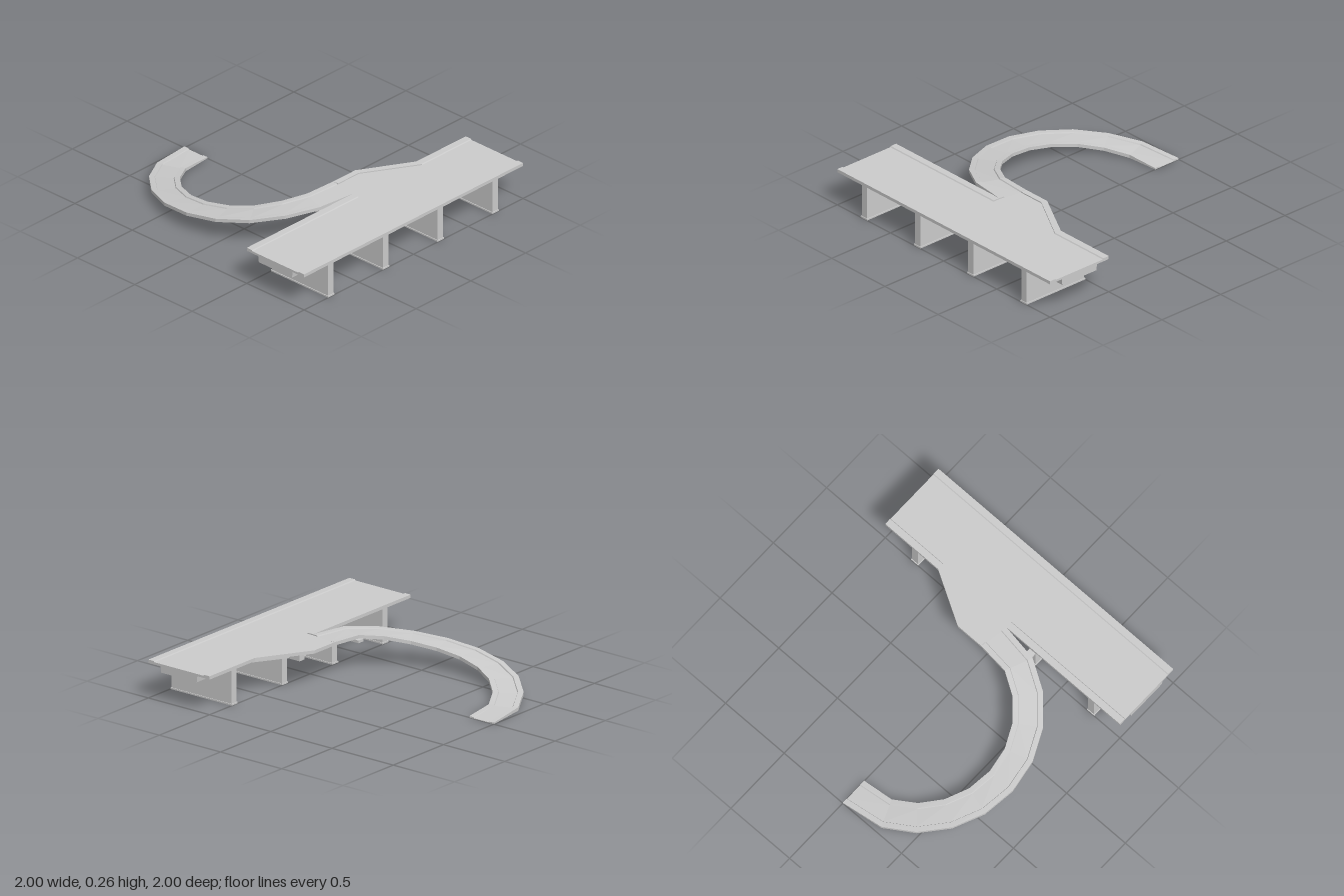
import * as THREE from 'three';

const mat = new THREE.MeshStandardMaterial({ color: 0xcccccc, flatShading: true, side: THREE.DoubleSide });

const TOP = 0.257, ROAD = 0.25, SLAB = 0.235, BEAM = 0.193;

function add(parent, name, geo) {
  const mesh = new THREE.Mesh(geo, mat);
  mesh.name = name;
  parent.add(mesh);
  return mesh;
}

function box(parent, name, x0, x1, y0, y1, z0, z1) {
  const geo = new THREE.BoxGeometry(x1 - x0, y1 - y0, z1 - z0);
  geo.translate((x0 + x1) / 2, (y0 + y1) / 2, (z0 + z1) / 2);
  return add(parent, name, geo);
}

// Extrude an x/y section along z
function beamAlongZ(points, z0, z1) {
  const shape = new THREE.Shape(points.map(p => new THREE.Vector2(...p)));
  const geo = new THREE.ExtrudeGeometry(shape, { depth: z1 - z0, bevelEnabled: false });
  return geo.translate(0, 0, z0);
}

// Extrude an x/z outline between two heights
function plate(points, y0, y1) {
  const shape = new THREE.Shape(points.map(([x, z]) => new THREE.Vector2(x, -z)));
  const geo = new THREE.ExtrudeGeometry(shape, { depth: y1 - y0, bevelEnabled: false });
  return geo.rotateX(-Math.PI / 2).translate(0, y0, 0);
}

// Join equal cross-section rings into a closed solid
function loft(rings) {
  const n = rings[0].length, index = [];
  for (let i = 0; i < rings.length - 1; i++) {
    for (let j = 0; j < n; j++) {
      const a = i * n + j, b = i * n + (j + 1) % n;
      index.push(a, b, a + n, b, b + n, a + n);
    }
  }
  // End caps: kerbs and road strip of the eight-point section
  const cap = [[0, 1, 2], [0, 2, 3], [0, 3, 4], [0, 4, 7], [7, 4, 5], [7, 5, 6]];
  const last = (rings.length - 1) * n;
  for (const [a, b, c] of cap) index.push(a, c, b, a + last, b + last, c + last);
  const geo = new THREE.BufferGeometry();
  geo.setAttribute('position', new THREE.Float32BufferAttribute(rings.flat(2), 3));
  geo.setIndex(index);
  const flat = geo.toNonIndexed();
  flat.computeVertexNormals();
  return flat;
}

export function createModel() {
  const group = new THREE.Group();

  // Main deck with box beam underneath and a continuous right kerb
  add(group, 'deck', beamAlongZ([
    [0.5, SLAB], [0.6, SLAB], [0.605, BEAM], [0.895, BEAM], [0.9, SLAB], [1, SLAB],
    [1, TOP], [0.955, TOP], [0.95, ROAD], [0.5, ROAD],
  ], -1, 1));

  // Kerb on the ramp side, open where the ramp joins
  const kerb = [[0.5, ROAD], [0.55, ROAD], [0.545, TOP], [0.5, TOP]];
  add(group, 'frontKerb', beamAlongZ(kerb, 0.03, 1));
  add(group, 'backKerb', beamAlongZ(kerb, -1, -0.55));

  // Wall piers with slightly wider feet
  for (const z of [-0.75, -0.25, 0.25, 0.75]) {
    const pier = new THREE.Group();
    pier.name = 'pier';
    box(pier, 'pierWall', 0.505, 0.995, 0, SLAB, z - 0.025, z + 0.025);
    box(pier, 'pierFoot', 0.5, 1, 0, 0.01, z - 0.03, z + 0.03);
    group.add(pier);
  }

  // Brackets carrying the ramp and the widened deck
  box(group, 'rampBracket', 0.29, 0.51, 0.19, 0.208, 0.225, 0.275);
  box(group, 'deckBracket', 0.36, 0.51, 0.19, SLAB, -0.275, -0.225);

  // Tapered widening where the ramp merges
  add(group, 'mergeSlab', plate([[0.3, 0], [0.5, 0.03], [0.5, -0.55], [0.3, -0.2]], SLAB, ROAD));
  add(group, 'mergeBeam', plate([[0.4, 0], [0.61, 0], [0.61, -0.55], [0.4, -0.2]], BEAM, SLAB));
  add(group, 'mergeKerb', plate([
    [0.3, 0], [0.34, 0], [0.34, -0.19], [0.55, -0.55], [0.5, -0.55], [0.3, -0.2],
  ], ROAD, TOP));

  // Curved ramp: stations on a half circle, rising to the deck
  const heights = [0.01, 0.025, 0.05, 0.077, 0.103, 0.13, 0.157, 0.187, 0.222, 0.25, TOP];
  const rings = heights.map((h, k) => {
    // End stations sit square; the others are spaced evenly round the arc
    const end = k === 0 || k === 10;
    const a = Math.PI - (k === 0 ? 0 : k === 10 ? Math.PI : (k - 0.3 * (5 - k) / 5 * -1) * Math.PI / 10);
    const outer = end ? 0.75 : 0.768, inner = end ? 0.55 : 0.573;
    const low = Math.max(0, h - 0.023), road = Math.max(low + 0.004, h - 0.007);
    const at = (t, y) => {
      const r = inner + (outer - inner) * t;
      let x = -0.25 + r * Math.cos(a), z = r * Math.sin(a);
      x = Math.min(Math.max(x, -1), 0.5);
      if (k === 10) z += 0.03 * t;
      return [x, y, z];
    };
    return [
      at(0, low), at(0, h), at(0.18, h), at(0.2, road),
      at(0.8, road), at(0.82, h), at(1, h), at(1, low),
    ];
  });
  add(group, 'ramp', loft(rings));

  return group;
}
